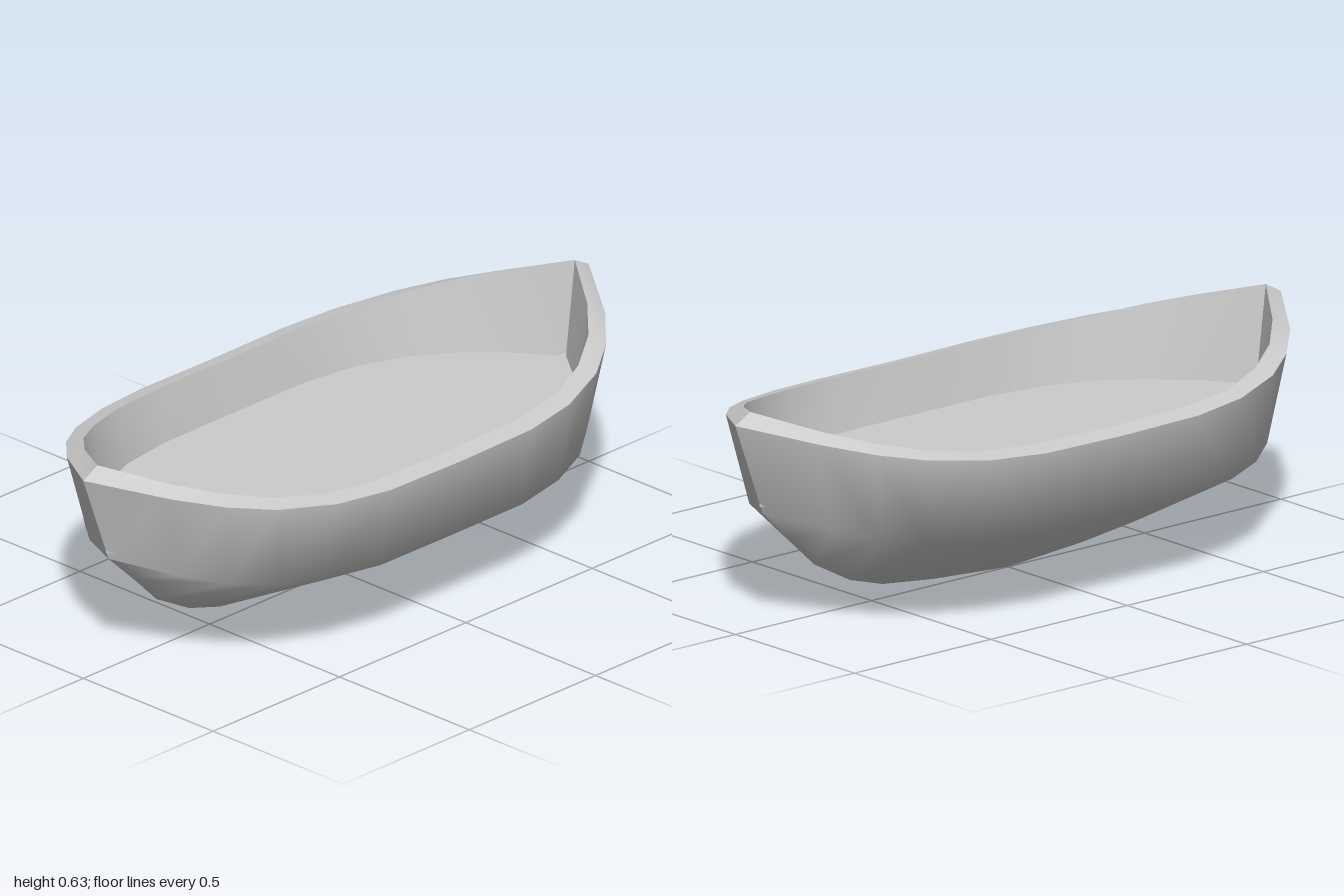
import * as THREE from 'three';

const FLOOR_Y = 0.35;

// Long lines of the boat, midship to bow, as [x, y, z]
const keel = [[0, 0, 0], [0.27, 0.018, 0], [0.46, 0.04, 0], [0.58, 0.075, 0], [0.71, 0.145, 0], [0.8, 0.235, 0], [0.9, 0.33, 0]];
const chine = [[0, 0.25, 0.447], [0.28, 0.25, 0.445], [0.46, 0.255, 0.412], [0.6, 0.265, 0.355], [0.71, 0.28, 0.275], [0.8, 0.3, 0.17], [0.9, 0.33, 0]];
const outerRim = [[0, 0.485, 0.482], [0.28, 0.488, 0.48], [0.46, 0.497, 0.453], [0.63, 0.515, 0.39], [0.75, 0.536, 0.31], [0.86, 0.562, 0.2], [1, 0.6, 0]];
const innerRim = [[0, 0.498, 0.428], [0.28, 0.502, 0.426], [0.46, 0.51, 0.4], [0.61, 0.53, 0.34], [0.73, 0.557, 0.262], [0.83, 0.587, 0.16], [0.945, 0.63, 0]];
const floorEdge = [[0, 0.396], [0.28, 0.394], [0.45, 0.37], [0.6, 0.312], [0.71, 0.235], [0.81, 0.135], [0.91, 0]]
  .map(([x, z]) => [x, FLOOR_Y, z]);
const floorCentre = floorEdge.map(([x, y]) => [x, y, 0]);

// Full line from stern to bow, by mirroring in x
const fullLine = (line) => [...line.slice(1).reverse().map(([x, y, z]) => [-x, y, z]), ...line];

// Smooth surface through a few long lines, on one side of the boat
function loft(lines, side) {
  const rows = lines.map(fullLine);
  const n = rows[0].length;
  const positions = rows.flat().flatMap(([x, y, z]) => [x, y, z * side]);
  const index = [];
  for (let r = 0; r < rows.length - 1; r++) {
    for (let i = 0; i < n - 1; i++) {
      const a = r * n + i, b = a + 1, c = b + n, d = a + n;
      if (side > 0) index.push(a, b, c, a, c, d);
      else index.push(a, c, b, a, d, c);
    }
  }
  const geometry = new THREE.BufferGeometry();
  geometry.setAttribute('position', new THREE.Float32BufferAttribute(positions, 3));
  geometry.setIndex(index);
  geometry.computeVertexNormals();
  return geometry;
}

export function createModel() {
  const boat = new THREE.Group();
  boat.name = 'boat';
  const material = new THREE.MeshStandardMaterial({ color: 0xcccccc, side: THREE.DoubleSide });

  const parts = {
    hull: [keel, chine, outerRim],
    gunwale: [outerRim, innerRim],
    innerWall: [innerRim, floorEdge],
    floor: [floorEdge, floorCentre],
  };

  // Each part has a front and a back half meeting in a crease at z = 0
  for (const [name, lines] of Object.entries(parts)) {
    const part = new THREE.Group();
    part.name = name;
    for (const side of [1, -1]) {
      const mesh = new THREE.Mesh(loft(lines, side), material);
      mesh.name = name + (side > 0 ? 'Front' : 'Back');
      part.add(mesh);
    }
    boat.add(part);
  }
  return boat;
}
